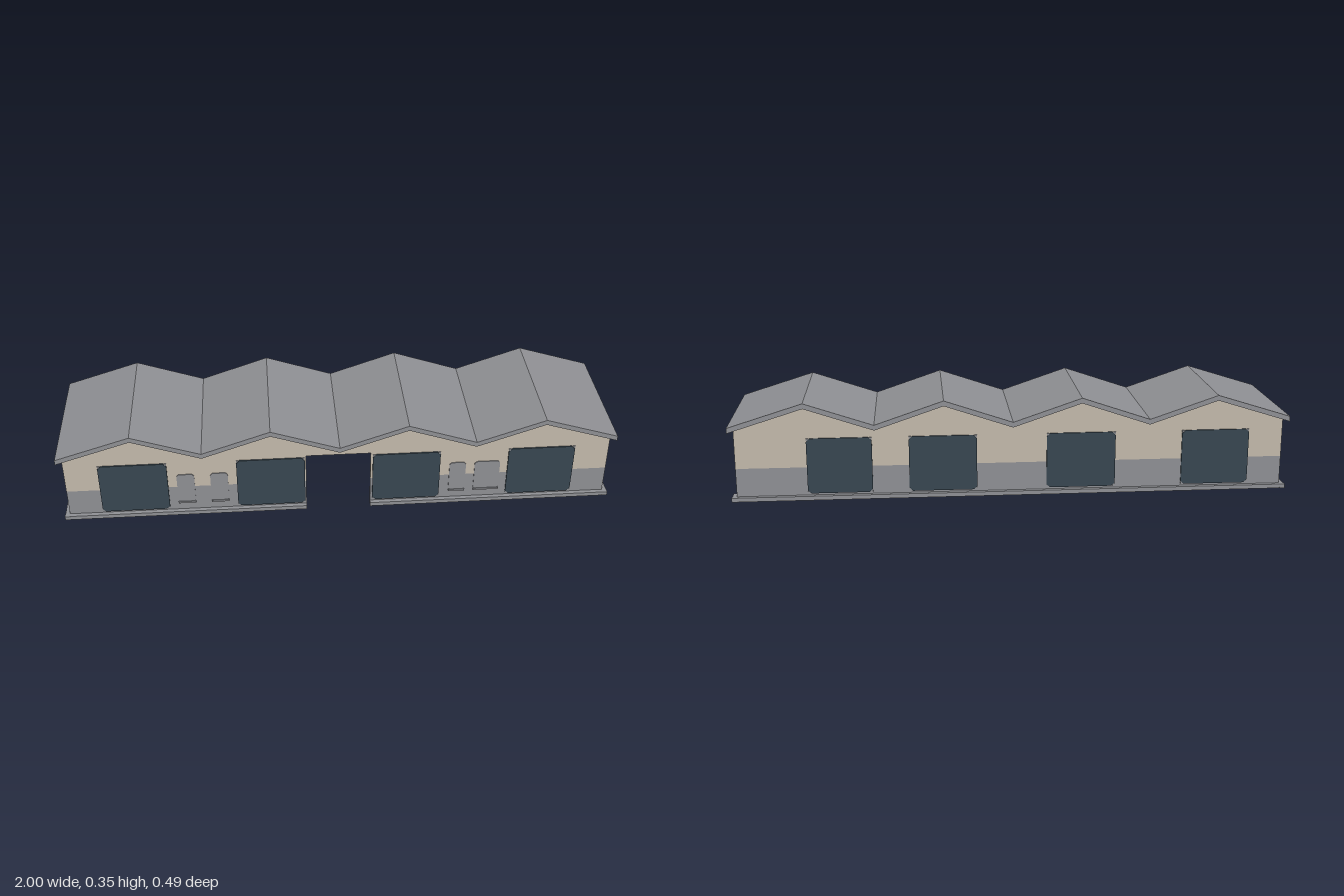
import * as THREE from 'three';

const mat = (name, color) => {
  const m = new THREE.MeshStandardMaterial({ color });
  m.name = name;
  return m;
};

export function createModel() {
  const plaster = mat('beige plaster', 0xc2b8aa);
  const grey = mat('concrete grey', 0x8e8f93);
  const glass = mat('dark glass', 0x384650);
  const model = new THREE.Group();
  model.name = 'hall';

  const HALF_X = 0.98, HALF_Z = 0.225, THICK = 0.01;

  // flat outline extruded to a depth ending at z = front
  function slab(parent, name, points, material, depth, front) {
    const shape = new THREE.Shape(points.map(([x, y]) => new THREE.Vector2(x, y)));
    const geo = new THREE.ExtrudeGeometry(shape, { depth, bevelEnabled: false });
    geo.translate(0, 0, front - depth);
    const mesh = new THREE.Mesh(geo, material);
    mesh.name = name;
    parent.add(mesh);
  }
  const rect = (x0, x1, y0, y1) => [[x0, y0], [x1, y0], [x1, y1], [x0, y1]];
  const chamfered = (x0, x1, y0, y1, c) => [
    [x0 + c, y0], [x1 - c, y0], [x1, y0 + c], [x1, y1 - c],
    [x1 - c, y1], [x0 + c, y1], [x0, y1 - c], [x0, y0 + c]];

  // zigzag line of the four gables, left to right
  const zigzag = (halfX, valley, peak, end) => {
    const pts = [];
    for (let i = 0; i <= 8; i++) {
      const edge = i === 0 || i === 8;
      const x = edge ? Math.sign(i - 4) * halfX : (i - 4) * 0.245;
      pts.push([x, edge ? end : i % 2 ? peak : valley]);
    }
    return pts;
  };

  // one wall with its plinth, windows and optional door opening, facing local +z
  function wall(o) {
    const g = new THREE.Group();
    g.name = o.name;
    const { half, dist, split, door, windows } = o;
    const spans = door ? [[-half, door[0]], [door[1], half]] : [[-half, half]];
    for (const [a, b] of spans) {
      slab(g, 'lowerWall', rect(a, b, 0, split), grey, THICK, dist);
      const p0 = a === -half ? -half - 0.017 : a;
      const p1 = b === half ? half + 0.017 : b;
      slab(g, 'plinth', rect(p0, p1, 0, 0.015), grey, 0.018, dist + 0.016);
    }
    const notch = door
      ? [[door[0], split], [door[0], door[2]], [door[1], door[2]], [door[1], split]] : [];
    slab(g, 'upperWall', [[-half, split], ...notch, [half, split], ...o.top.slice().reverse()],
      plaster, THICK, dist);
    for (const [a, b, y0 = 0.022, y1 = 0.224] of windows) {
      slab(g, 'window', chamfered(a, b, y0, y1, 0.012), glass, 0.02, dist + 0.005);
      // frame corners
      for (const x of [a, b - 0.008]) for (const y of [y0, y1 - 0.008])
        slab(g, 'windowCorner', rect(x, x + 0.008, y, y + 0.008), grey, 0.018, dist + 0.004);
    }
    // small hatches
    for (const [a, b] of o.hatches || []) {
      slab(g, 'hatch', chamfered(a, b, 0.05, 0.172, 0.008), grey, 0.016, dist + 0.003);
      slab(g, 'hatchSill', rect(a, b, 0.045, 0.052), grey, 0.018, dist + 0.006);
    }
    g.rotation.y = o.turn;
    model.add(g);
  }

  const gableTop = zigzag(HALF_X, 0.257, 0.34, 0.262);
  const sideTop = [[-HALF_Z, 0.262], [HALF_Z, 0.262]];
  wall({
    name: 'frontWall', half: HALF_X, dist: HALF_Z, split: 0.117, turn: 0, top: gableTop,
    door: [-0.12, 0.112, 0.23],
    windows: [[-0.86, -0.617], [-0.37, -0.125], [0.12, 0.365], [0.613, 0.855]],
    hatches: [[-0.585, -0.522], [-0.465, -0.402], [0.4, 0.46], [0.492, 0.585]],
  });
  wall({
    name: 'backWall', half: HALF_X, dist: HALF_Z, split: 0.118, turn: Math.PI, top: gableTop,
    windows: [[-0.73, -0.5], [-0.37, -0.128], [0.122, 0.37], [0.612, 0.857]],
  });
  wall({
    name: 'rightWall', half: HALF_Z, dist: HALF_X, split: 0.117, turn: Math.PI / 2, top: sideTop,
    door: [0.112, 0.188, 0.152],
    windows: [[-0.108, 0.108]],
  });
  wall({
    name: 'leftWall', half: HALF_Z, dist: HALF_X, split: 0.117, turn: -Math.PI / 2, top: sideTop,
    windows: [[-0.09, 0.108]],
  });

  // folded roof sheet
  const upper = zigzag(1, 0.272, 0.355, 0.272);
  const lower = zigzag(1, 0.253, 0.336, 0.253);
  slab(model, 'roof', [...lower, ...upper.reverse()], grey, 0.49, 0.245);

  return model;
}
